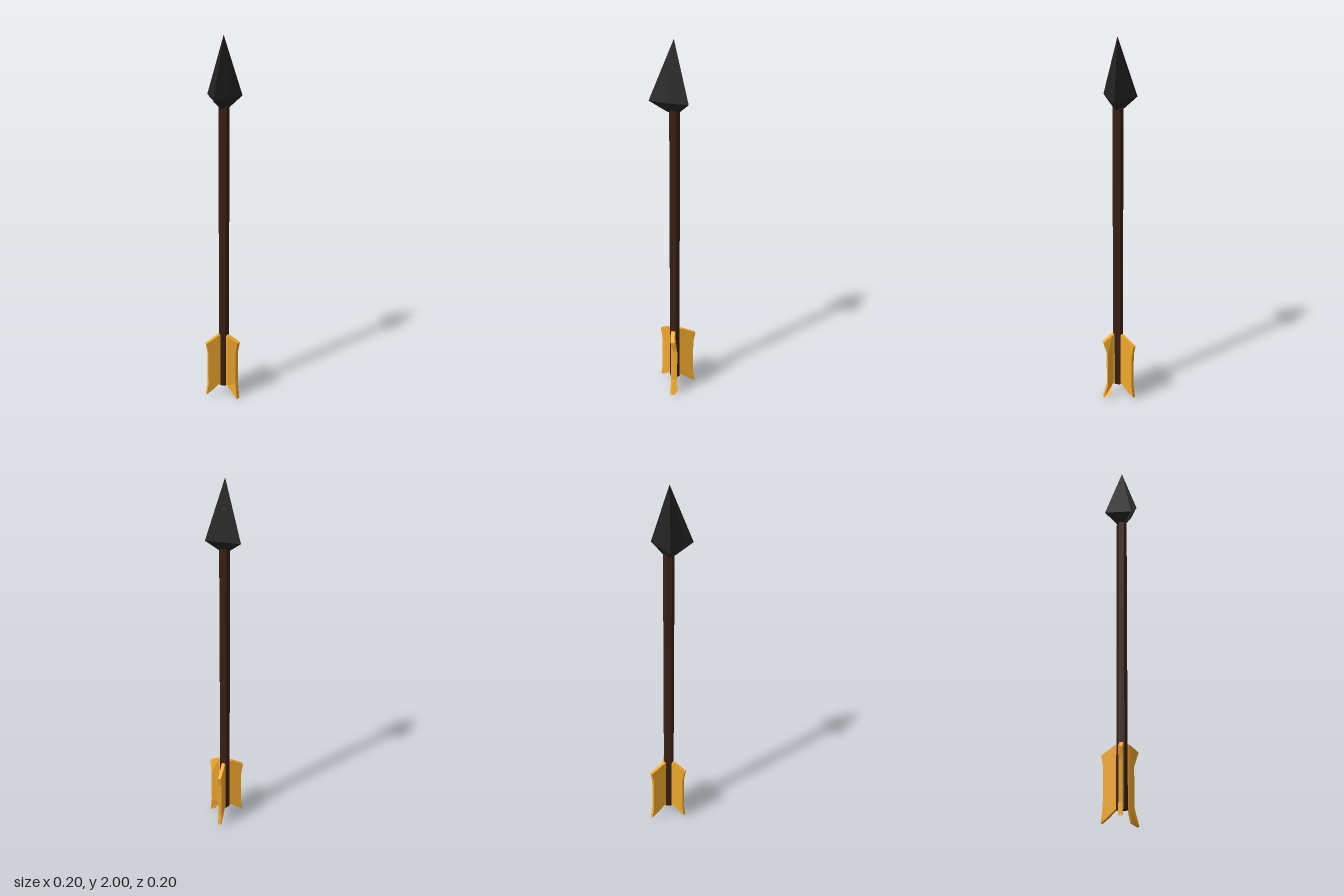
import * as THREE from 'three';

const CX = 0.003, CZ = 0.008; // axis of the shaft

function material(color) {
  return new THREE.MeshStandardMaterial({ color, flatShading: true });
}

function part(name, geometry, mat) {
  const mesh = new THREE.Mesh(geometry, mat);
  mesh.name = name;
  return mesh;
}

// Pointed head: an uneven ring joined to a tip above and a small neck below
function headGeometry() {
  const ring = [[0.1, 0.008], [0.003, 0.065], [-0.085, 0.097], [-0.053, 0.065], [-0.053, -0.08]];
  const tip = [0, 2, 0.01];
  const bottom = [CX, 1.65, CZ];
  const wide = ring.map(([x, z]) => [x, 1.705, z]);
  const neck = ring.map(([x, z]) => [CX + (x - CX) * 0.28, 1.65, CZ + (z - CZ) * 0.28]);
  const pos = [];
  for (let i = 0; i < ring.length; i++) {
    const j = (i + 1) % ring.length;
    pos.push(...tip, ...wide[j], ...wide[i]);
    pos.push(...wide[i], ...wide[j], ...neck[j]);
    pos.push(...wide[i], ...neck[j], ...neck[i]);
    pos.push(...neck[i], ...neck[j], ...bottom);
  }
  const geo = new THREE.BufferGeometry();
  geo.setAttribute('position', new THREE.Float32BufferAttribute(pos, 3));
  geo.computeVertexNormals();
  return geo;
}

// Fin: notched outline (radius, height) extruded to thickness;
// bend pushes the outer part sideways
function finGeometry({ outer, mid, top, low, thick, bend }) {
  const outline = [
    [0.012, 0.075], [0.035, 0.075], [outer * 0.68, low + 0.022], [outer, low],
    [mid, 0.09], [mid, 0.29], [outer, top], [0.035, 0.39], [0.012, 0.39],
  ];
  const shape = new THREE.Shape(outline.map(([r, y]) => new THREE.Vector2(r, y)));
  const geo = new THREE.ExtrudeGeometry(shape, { depth: thick, bevelEnabled: false });
  geo.translate(0, 0, -thick / 2);
  if (bend) {
    const p = geo.attributes.position;
    for (let i = 0; i < p.count; i++) {
      const r = p.getX(i);
      if (r > 0.05) p.setZ(i, p.getZ(i) - 0.025 + (r - mid) * 0.55);
    }
    geo.computeVertexNormals();
  }
  return geo;
}

export function createModel() {
  const group = new THREE.Group();
  group.name = 'arrow';

  // Six-sided shaft
  const shaft = part('shaft', new THREE.CylinderGeometry(0.0277, 0.0277, 1.59, 6), material(0x3a2015));
  shaft.position.set(CX, 0.07 + 1.59 / 2, CZ);
  group.add(shaft);

  group.add(part('head', headGeometry(), material(0x222222)));

  // Three fins around the tail
  const gold = material(0xf2a92c);
  const fins = [
    { name: 'rightFin', angle: Math.PI, outer: 0.105, mid: 0.094, top: 0.35, low: 0.025, thick: 0.019 },
    { name: 'backFin', angle: Math.PI / 3, outer: 0.118, mid: 0.106, top: 0.35, low: 0.02, thick: 0.018 },
    { name: 'frontFin', angle: -Math.PI / 3, outer: 0.0925, mid: 0.0725, top: 0.36, low: 0, thick: 0.023, bend: true },
  ];
  for (const fin of fins) {
    const mesh = part(fin.name, finGeometry(fin), gold);
    mesh.rotation.y = fin.angle;
    mesh.position.set(CX, 0, CZ);
    group.add(mesh);
  }
  return group;
}
